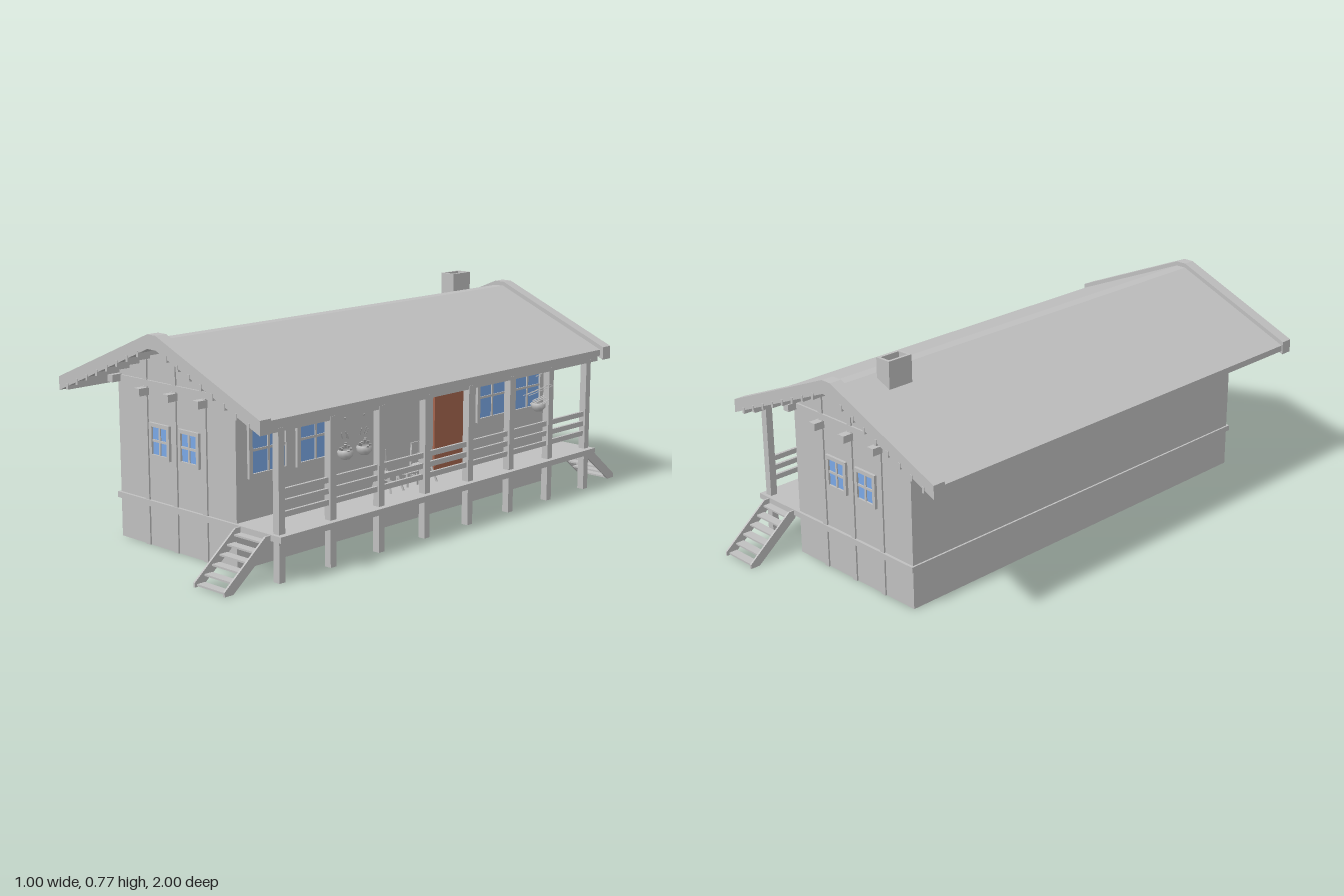
import * as THREE from 'three';

const mat = (name, color) => {
  const m = new THREE.MeshStandardMaterial({ color, side: THREE.DoubleSide });
  m.name = name;
  return m;
};

// Roof surface height at x: two slopes with a narrow flat ridge
const RIDGE = -0.01;
const roofY = (x) => 0.73 - 0.42 * Math.max(0, Math.abs(x - RIDGE) - 0.02);

export function createModel() {
  const model = new THREE.Group();
  const wood = mat('grey timber', 0xbfbfbf);
  const glass = mat('blue glass', 0x7aa8e6);
  const red = mat('red brown door', 0xa5654e);

  const add = (parent, name, geo, m = wood) => {
    const mesh = new THREE.Mesh(geo, m);
    mesh.name = name;
    parent.add(mesh);
    return mesh;
  };
  // Box given by its limits
  const box = (parent, name, x0, x1, y0, y1, z0, z1, m = wood) => {
    const mesh = add(parent, name, new THREE.BoxGeometry(x1 - x0, y1 - y0, z1 - z0), m);
    mesh.position.set((x0 + x1) / 2, (y0 + y1) / 2, (z0 + z1) / 2);
    return mesh;
  };
  // Thin bar between two points
  const bar = (parent, name, a, b, w = 0.006, d = w) => {
    const p = new THREE.Vector3(...a), q = new THREE.Vector3(...b);
    const mesh = add(parent, name, new THREE.BoxGeometry(w, d, p.distanceTo(q)));
    mesh.position.copy(p).lerp(q, 0.5);
    mesh.lookAt(q);
    return mesh;
  };
  const extrude = (pts, depth) => new THREE.ExtrudeGeometry(
    new THREE.Shape(pts.map((p) => new THREE.Vector2(...p))), { depth, bevelEnabled: false });
  const group = (name) => {
    const g = new THREE.Group();
    g.name = name;
    model.add(g);
    return g;
  };

  // Roof band following the slopes, between two drops below the surface
  const roofBand = (x0, x1, top, bottom, depth) => {
    const xs = [x0, RIDGE - 0.02, RIDGE + 0.02, x1];
    return extrude([...xs.map((x) => [x, roofY(x) - top]),
      ...xs.reverse().map((x) => [x, roofY(x) - bottom])], depth);
  };
  const roof = group('roof');
  add(roof, 'roofSlab', roofBand(-0.495, 0.472, 0.016, 0.038, 1.7)).position.z = -0.85;
  for (const z of [-0.89, 0.845])
    add(roof, 'bargeBoard', roofBand(-0.5, 0.485, 0, 0.047, 0.045)).position.z = z;
  // Battens below the roof
  for (const s of [-1, 1]) for (let i = 0; i < 8; i++) {
    const x = RIDGE + s * (0.07 + i * 0.0535);
    const y = roofY(x) - 0.05;
    box(roof, 'batten', x - 0.005, x + 0.005, y - 0.008, y + 0.013, -0.892, 0.892);
  }

  // Hollow chimney
  const chimney = group('chimney');
  const stack = new THREE.Shape([[-0.03, -0.048], [0.03, -0.048], [0.03, 0.048], [-0.03, 0.048]]
    .map((p) => new THREE.Vector2(...p)));
  stack.holes.push(new THREE.Path([[-0.02, -0.038], [-0.02, 0.038], [0.02, 0.038], [0.02, -0.038]]
    .map((p) => new THREE.Vector2(...p))));
  const flue = add(chimney, 'chimneyStack',
    new THREE.ExtrudeGeometry(stack, { depth: 0.125, bevelEnabled: false }));
  flue.rotation.x = -Math.PI / 2;
  flue.position.set(-0.08, 0.65, -0.667);

  // Hollow house shell, open underneath
  const walls = group('walls');
  box(walls, 'leftWall', -0.295, -0.289, 0, roofY(-0.295) - 0.03, -0.8, 0.8);
  box(walls, 'rightWall', 0.272, 0.278, 0, roofY(0.278) - 0.03, -0.8, 0.8);
  const gable = [[-0.295, 0], [0.278, 0], [0.278, roofY(0.278) - 0.03],
    [0.01, 0.7], [-0.03, 0.7], [-0.295, roofY(-0.295) - 0.03]];
  for (const z of [-0.8, 0.794]) add(walls, 'gableWall', extrude(gable, 0.006)).position.z = z;

  // Windows are built facing +z around their centre
  const makeWindow = (w, h, f) => {
    const g = group('window');
    const a = w / 2, b = h / 2;
    box(g, 'glassPane', -a + f, a - f, -b + f, b - f, 0, 0.003, glass);
    for (const s of [-1, 1]) {
      const cx = s * (a - f / 2), cy = s * (b - f / 2);
      box(g, 'frameSide', cx - f / 2, cx + f / 2, -b, b, 0, 0.01);
      box(g, 'frameRail', -a, a, cy - f / 2, cy + f / 2, 0, 0.01);
    }
    box(g, 'mullion', -0.004, 0.004, -b + f, b - f, 0, 0.007);
    box(g, 'transom', -a + f, a - f, -0.004, 0.004, 0, 0.007);
    return g;
  };

  // Timber framing and windows on both gable ends
  for (const s of [-1, 1]) {
    const ends = group('gableFraming');
    const slab = (name, x0, x1, y0, y1, out) =>
      box(ends, name, x0, x1, y0, y1, Math.min(s * 0.795, s * out), Math.max(s * 0.795, s * out));
    for (const x of [-0.152, -0.009, 0.136]) {
      slab('lowerPost', x - 0.01, x + 0.01, 0, 0.135, 0.806);
      slab('wallPost', x - 0.01, x + 0.01, 0.155, 0.535, 0.806);
      slab('gablePost', x - 0.01, x + 0.01, 0.555, roofY(x) - 0.035, 0.806);
      slab('beamEnd', x - 0.014, x + 0.014, 0.507, 0.532, 0.84);
    }
    slab('tieBeam', -0.295, 0.278, 0.536, 0.557, 0.807);
    for (const x of [-0.288, 0.27]) slab('plateEnd', x - 0.013, x + 0.013, 0.535, 0.56, 0.84);
    slab('floorBand', -0.3, 0.285, 0.135, 0.155, 0.81);
    for (const x of [-0.081, 0.063]) {
      const win = makeWindow(0.1, 0.118, 0.013);
      win.position.set(x, 0.36, s * 0.8);
      if (s < 0) win.rotation.y = Math.PI;
    }
  }
  box(walls, 'leftFloorBand', -0.302, -0.285, 0.135, 0.155, -0.81, 0.81);

  // Porch-side windows and door
  for (const z of [0.665, 0.455, -0.45, -0.655]) {
    const win = makeWindow(0.175, 0.18, 0.015);
    win.position.set(0.278, 0.38, z);
    win.rotation.y = Math.PI / 2;
  }
  box(walls, 'door', 0.277, 0.286, 0.157, 0.505, -0.325, -0.13, red);

  // Porch deck, posts and rails
  const porch = group('porch');
  box(porch, 'deck', 0.272, 0.487, 0.135, 0.155, -0.81, 0.81);
  box(porch, 'topBeam', 0.441, 0.465, 0.478, 0.505, -0.84, 0.84);
  for (let i = 0; i < 8; i++) {
    const z = -0.784 + i * 0.224;
    box(porch, 'porchPost', 0.44, 0.466, 0, 0.49, z - 0.013, z + 0.013);
  }
  for (const y of [0.213, 0.25, 0.286])
    box(porch, 'rail', 0.448, 0.458, y - 0.009, y + 0.009, -0.784, 0.784);

  // Stairs at both ends of the porch
  for (const s of [-1, 1]) {
    const stairs = group('stairs');
    const stringer = extrude([[0.805, 0.152], [0.83, 0.152], [1, 0.015], [1, 0], [0.965, 0], [0.805, 0.125]], 0.007);
    for (const x of [0.298, 0.434]) {
      const side = add(stairs, 'stringer', stringer);
      side.rotation.y = -Math.PI / 2;
      side.position.x = x + 0.007;
      side.scale.x = s;
    }
    for (let i = 0; i < 6; i++) {
      const z = s * (0.975 - i * 0.031), y = 0.006 + i * 0.025;
      box(stairs, 'tread', 0.3, 0.438, y - 0.003, y + 0.003, z - 0.016, z + 0.016);
    }
  }

  // Chairs looking out from the porch, with a small table between
  for (const z of [0.172, 0.002]) {
    const chair = group('chair');
    box(chair, 'seat', 0.31, 0.372, 0.207, 0.213, z - 0.026, z + 0.026);
    for (const s of [-1, 1]) {
      bar(chair, 'backPost', [0.313, 0.21, z + s * 0.023], [0.311, 0.285, z + s * 0.017]);
      bar(chair, 'frontLeg', [0.365, 0.21, z + s * 0.023], [0.385, 0.155, z + s * 0.031]);
      bar(chair, 'rearLeg', [0.315, 0.21, z + s * 0.023], [0.297, 0.155, z + s * 0.031]);
      bar(chair, 'sideStretcher', [0.306, 0.178, z + s * 0.027], [0.376, 0.178, z + s * 0.027], 0.004);
    }
    box(chair, 'backRest', 0.309, 0.314, 0.25, 0.288, z - 0.02, z + 0.02);
  }
  const table = group('table');
  box(table, 'tableTop', 0.315, 0.37, 0.198, 0.204, 0.045, 0.105);
  for (const x of [0.32, 0.365]) for (const z of [0.05, 0.1])
    box(table, 'tableLeg', x - 0.003, x + 0.003, 0.155, 0.2, z - 0.003, z + 0.003);

  // Hanging flower pots
  const potProfile = [[0, 0], [0.014, 0.002], [0.025, 0.014], [0.026, 0.026], [0.022, 0.032]]
    .map((p) => new THREE.Vector2(...p));
  for (const z of [0.495, 0.408, -0.5]) {
    const plant = group('hangingPlant');
    plant.position.set(0.455, 0.338, z);
    add(plant, 'pot', new THREE.LatheGeometry(potProfile, 14));
    for (let i = 0; i < 3; i++) {
      const a = i * Math.PI * 2 / 3;
      bar(plant, 'cord', [0.023 * Math.cos(a), 0.03, 0.023 * Math.sin(a)], [0, 0.125, 0], 0.002);
    }
    bar(plant, 'hook', [0, 0.12, 0], [0, 0.145, 0.001], 0.003);
    for (let i = 0; i < 9; i++) {
      const a = i * 2.4, r = 0.026 + 0.016 * (i % 3) / 2;
      bar(plant, 'leaf', [0, 0.026, 0],
        [r * Math.cos(a), 0.03 + 0.012 * (i % 4), r * Math.sin(a) * 0.7], 0.007, 0.002);
    }
  }
  return model;
}
